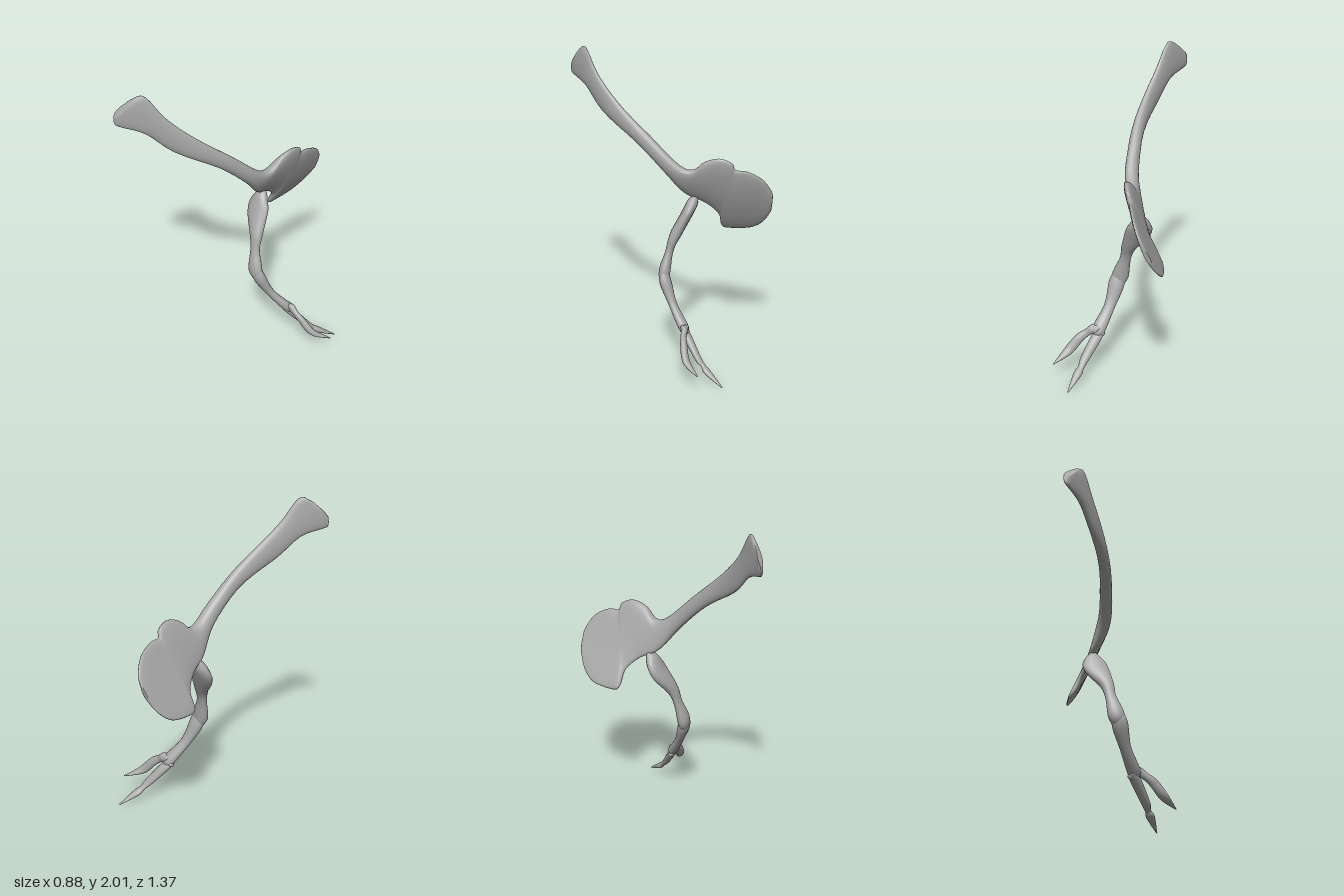
import * as THREE from 'three';

const bone = new THREE.MeshStandardMaterial({ color: 0xa8a8a8 });
bone.name = 'bone grey';
const V = (x, y, z) => new THREE.Vector3(x, y, z);

// Smoothly interpolate rows of numbers, k steps between rows
function resample(rows, k) {
  const out = [];
  for (let i = 0; i < rows.length - 1; i++) {
    const r = [-1, 0, 1, 2].map(d => rows[Math.min(rows.length - 1, Math.max(0, i + d))]);
    for (let j = 0; j < k; j++) {
      const t = j / k;
      out.push(r[1].map((b, c) => {
        const m0 = (r[2][c] - r[0][c]) / 2, m1 = (r[3][c] - b) / 2, d = r[2][c] - b;
        return b + t * m0 + t * t * (3 * d - 2 * m0 - m1) + t * t * t * (m0 + m1 - 2 * d);
      }));
    }
  }
  out.push(rows[rows.length - 1]);
  return out;
}

// Skin a list of point rings into a closed, outward-facing mesh
function loft(name, rings) {
  const n = rings[0].length, pts = rings.flat(), idx = [];
  for (let i = 0; i < rings.length - 1; i++)
    for (let j = 0; j < n; j++) {
      const a = i * n + j, b = i * n + (j + 1) % n;
      idx.push(a, b, a + n, b, b + n, a + n);
    }
  [0, rings.length - 1].forEach((e, side) => {
    const c = rings[e].reduce((s, p) => s.add(p), V(0, 0, 0)).divideScalar(n);
    pts.push(c);
    for (let j = 0; j < n; j++) {
      const a = e * n + j, b = e * n + (j + 1) % n;
      idx.push(pts.length - 1, side ? a : b, side ? b : a);
    }
  });
  // Signed volume decides the winding
  let vol = 0;
  for (let i = 0; i < idx.length; i += 3)
    vol += pts[idx[i]].dot(pts[idx[i + 1]].clone().cross(pts[idx[i + 2]]));
  if (vol < 0) idx.reverse();
  const g = new THREE.BufferGeometry().setFromPoints(pts);
  g.setIndex(idx);
  g.computeVertexNormals();
  const mesh = new THREE.Mesh(g, bone);
  mesh.name = name;
  return mesh;
}

// Long bone: rows of x, y, z, half-width; the depth follows from the width
function limb(name, rows) {
  const r = resample(rows, 5);
  return loft(name, r.map(([x, y, z, w], i) => {
    const a = r[Math.max(0, i - 1)], b = r[Math.min(r.length - 1, i + 1)];
    const t = V(b[0] - a[0], b[1] - a[1], b[2] - a[2]).normalize();
    const u = V(1, 0, 0).addScaledVector(t, -t.x).normalize();
    const v = t.clone().cross(u), depth = Math.min(0.72 * w, 0.037);
    return Array.from({ length: 16 }, (_, j) => {
      const q = j / 16 * Math.PI * 2;
      return V(x, y, z).addScaledVector(u, w * Math.cos(q)).addScaledVector(v, depth * Math.sin(q));
    });
  }));
}

// Curved mid-surface: the blade sweeps aside forward, the rear plate curls under
function sheetX(y, z) {
  const d = 1.4 - y;
  const blade = -0.08 - 0.75 * z * z, rear = -0.03 - 0.25 * d - 0.3 * d * d;
  return THREE.MathUtils.lerp(rear, blade, THREE.MathUtils.smoothstep(z, -0.2, 0.1));
}

// Plate bone: rows of upper edge z, y and lower edge z, y
function plate(name, rows) {
  return loft(name, resample(rows, 4).map(([zu, yu, zl, yl]) => {
    const off = (zu + zl) / 2 + 0.1;
    const thick = 0.044 - (off > 0 ? 0.022 * off : -0.05 * off);
    return Array.from({ length: 28 }, (_, j) => {
      const q = j / 28 * Math.PI * 2, k = (1 + Math.cos(q)) / 2, s = Math.sin(q);
      const y = yl + (yu - yl) * k, z = zl + (zu - zl) * k;
      return V(sheetX(y, z) + thick * Math.sign(s) * Math.abs(s) ** 0.8, y, z);
    });
  }));
}

export function createModel() {
  const model = new THREE.Group();
  model.name = 'shoulderAndArmBones';

  // Shoulder blade flowing into the broad curved plate behind it
  model.add(plate('shoulderBlade', [
    [0.635, 1.95, 0.685, 1.87],
    [0.60, 1.99, 0.687, 1.82],
    [0.55, 2.00, 0.66, 1.80],
    [0.46, 1.85, 0.56, 1.755],
    [0.32, 1.70, 0.43, 1.62],
    [0.10, 1.51, 0.19, 1.46],
    [-0.10, 1.33, 0.00, 1.28],
    [-0.19, 1.31, -0.09, 1.17],
    [-0.26, 1.37, -0.155, 1.11],
    [-0.355, 1.40, -0.25, 1.065],
    [-0.435, 1.37, -0.335, 0.98],
    [-0.455, 1.325, -0.352, 0.875],
    [-0.525, 1.32, -0.42, 0.86],
    [-0.62, 1.27, -0.55, 0.88],
    [-0.68, 1.18, -0.63, 0.945],
    [-0.685, 1.11, -0.675, 1.03],
  ]));

  // Upper arm, wide and flattened at the shoulder
  model.add(limb('upperArm', [
    [-0.12, 1.11, -0.195, 0.025],
    [-0.115, 1.00, -0.145, 0.083],
    [-0.052, 0.85, -0.07, 0.048],
    [-0.03, 0.75, -0.04, 0.036],
    [0.003, 0.61, -0.015, 0.054],
    [0.01, 0.53, -0.035, 0.012],
  ]));

  // Forearm from elbow to wrist
  model.add(limb('forearm', [
    [0.02, 0.65, -0.015, 0.025],
    [0.025, 0.57, -0.025, 0.052],
    [0.072, 0.43, -0.085, 0.036],
    [0.14, 0.31, -0.165, 0.043],
    [0.155, 0.27, -0.19, 0.025],
  ]));

  // Two fingers with swollen knuckles and pointed claws
  model.add(limb('upperFinger', [
    [0.12, 0.31, -0.16, 0.015],
    [0.17, 0.315, -0.178, 0.032],
    [0.22, 0.285, -0.18, 0.025],
    [0.27, 0.25, -0.19, 0.03],
    [0.345, 0.17, -0.22, 0.029],
    [0.435, 0.125, -0.305, 0.004],
  ]));
  model.add(limb('lowerFinger', [
    [0.12, 0.295, -0.155, 0.02],
    [0.155, 0.26, -0.19, 0.034],
    [0.235, 0.145, -0.275, 0.028],
    [0.258, 0.105, -0.315, 0.02],
    [0.28, 0.075, -0.345, 0.027],
    [0.34, 0.006, -0.45, 0.004],
  ]));

  // Small knob on the wrist
  const knob = new THREE.Mesh(new THREE.SphereGeometry(0.022, 16, 10), bone);
  knob.name = 'wristKnob';
  knob.position.set(0.123, 0.28, -0.175);
  model.add(knob);
  return model;
}
